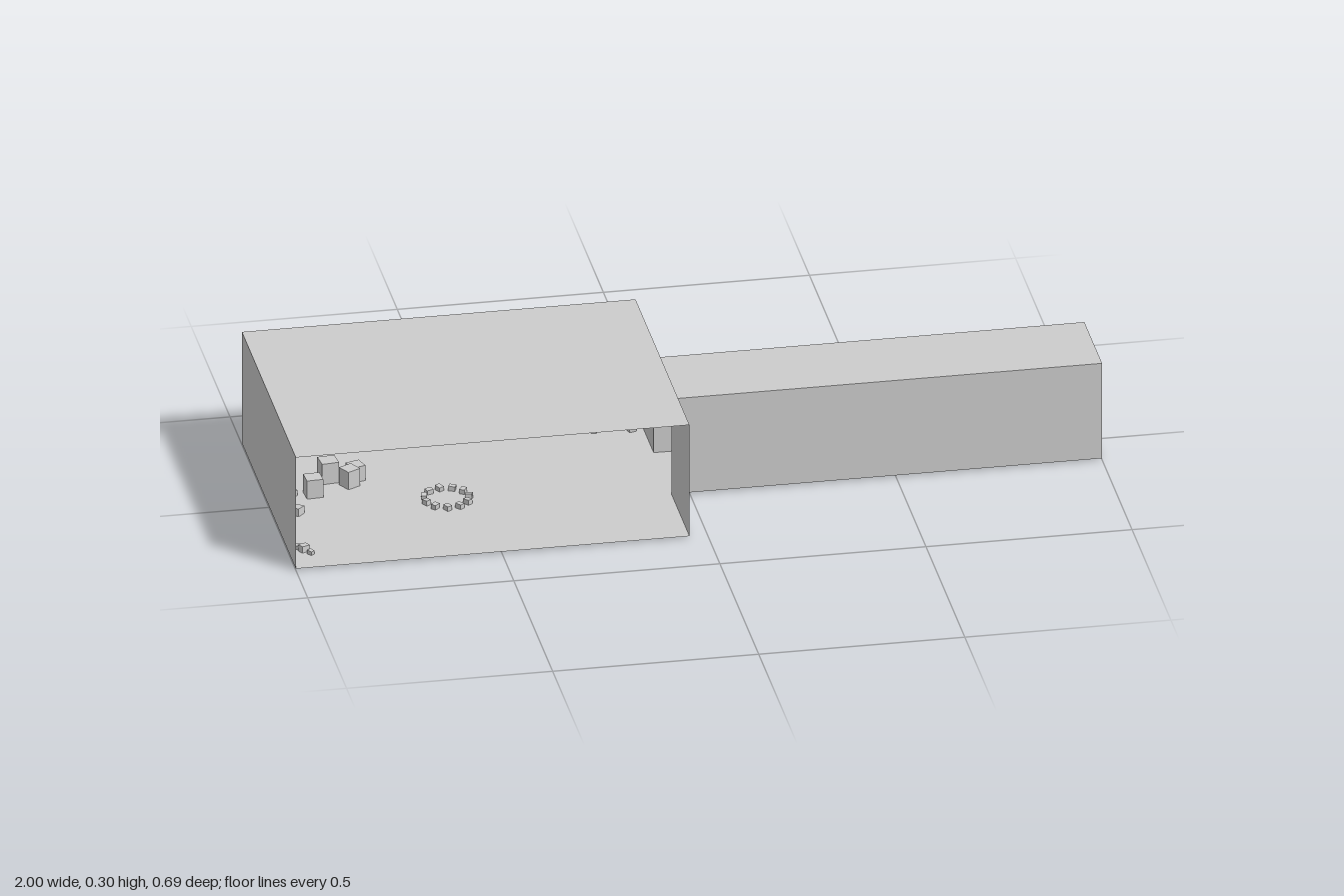
import * as THREE from 'three';

export function createModel() {
  const model = new THREE.Group();
  const stone = new THREE.MeshStandardMaterial({ color: 0xcccccc, flatShading: true, side: THREE.DoubleSide });
  stone.name = 'pale grey';

  const FLOOR = 0.004, X0 = -1, X1 = -0.045, X2 = 1;
  const ROOM_Z = 0.347, ROOM_H = 0.299, HALL_Z = 0.114, HALL_H = 0.256;

  let seed = 7;
  const rand = () => (seed = (seed * 16807) % 2147483647) / 2147483647;

  function add(parent, name, geometry, x, y, z) {
    const mesh = new THREE.Mesh(geometry, stone);
    mesh.name = name;
    mesh.position.set(x, y, z);
    parent.add(mesh);
    return mesh;
  }

  // Thin shells: floor, ceiling and long walls of a passage running along x
  function shell(name, xa, xb, halfZ, top, walls) {
    const group = new THREE.Group();
    group.name = name;
    const w = xb - xa, h = top - FLOOR, cx = (xa + xb) / 2, cy = (top + FLOOR) / 2;
    add(group, 'floor', new THREE.PlaneGeometry(w, halfZ * 2), cx, FLOOR, 0).rotation.x = -Math.PI / 2;
    add(group, 'ceiling', new THREE.PlaneGeometry(w, halfZ * 2), cx, top, 0).rotation.x = -Math.PI / 2;
    for (const s of walls) add(group, s > 0 ? 'frontWall' : 'backWall', new THREE.PlaneGeometry(w, h), cx, cy, s * halfZ);
    model.add(group);
    return group;
  }

  // Room is open at the front; corridor is open at its far end
  const room = shell('room', X0, X1, ROOM_Z, ROOM_H, [-1]);
  shell('corridor', X1, X2, HALL_Z, HALL_H, [-1, 1]);
  add(room, 'endWall', new THREE.PlaneGeometry(ROOM_Z * 2, ROOM_H - FLOOR), X0, (ROOM_H + FLOOR) / 2, 0).rotation.y = -Math.PI / 2;

  // Wall with the doorway into the corridor
  const outline = new THREE.Shape([
    [-ROOM_Z, FLOOR], [-HALL_Z, FLOOR], [-HALL_Z, HALL_H], [HALL_Z, HALL_H],
    [HALL_Z, FLOOR], [ROOM_Z, FLOOR], [ROOM_Z, ROOM_H], [-ROOM_Z, ROOM_H],
  ].map(([x, y]) => new THREE.Vector2(x, y)));
  add(room, 'doorWall', new THREE.ShapeGeometry(outline), X1, 0, 0).rotation.y = Math.PI / 2;

  // Crates: x, z, width, height, turn
  const crates = [
    [-0.885, -0.04, 0.04, 0.048, 0.05], [-0.79, -0.075, 0.036, 0.046, 0.5],
    [-0.835, -0.112, 0.042, 0.054, 0.1], [-0.77, -0.105, 0.035, 0.04, 0.3],
  ];
  for (const [x, z, w, h, turn] of crates)
    add(model, 'crate', new THREE.BoxGeometry(w, h, w), x, FLOOR + h / 2, z).rotation.y = turn;

  function rock(name, x, z, size) {
    const mesh = add(model, name, new THREE.BoxGeometry(size, size * 0.75, size * 0.8), x, FLOOR + size * 0.35, z);
    mesh.rotation.set((rand() - 0.5) * 0.2, rand() * 3, (rand() - 0.5) * 0.2);
  }

  // Ring of hearth stones
  for (let i = 0; i < 11; i++) {
    const a = (i / 11) * Math.PI * 2;
    rock('hearthStone', -0.577 + Math.cos(a) * 0.054, 0.045 + Math.sin(a) * 0.054, 0.017);
  }

  // Scattered rubble: x, z, size
  const rubble = [
    [-0.963, 0.255, 0.022], [-0.975, 0.24, 0.014], [-0.95, 0.275, 0.014],
    [-0.94, 0.055, 0.026], [-0.965, 0.07, 0.02], [-0.955, 0.0, 0.024], [-0.975, 0.03, 0.015],
    [-0.935, -0.045, 0.02], [-0.93, -0.075, 0.018],
    [-0.43, -0.26, 0.018], [-0.28, -0.27, 0.016], [-0.24, -0.29, 0.018], [-0.165, -0.25, 0.016],
    [-0.11, -0.29, 0.018], [-0.085, -0.27, 0.024], [-0.065, -0.3, 0.022], [-0.075, -0.24, 0.018],
  ];
  for (const [x, z, size] of rubble) rock('rubble', x, z, size);

  // Upright posts by the back wall, sunk through the floor
  for (const [x, z] of [[-0.362, -0.325], [-0.343, -0.3], [-0.295, -0.31], [-0.258, -0.315]])
    add(model, 'post', new THREE.BoxGeometry(0.011, 0.155, 0.011), x, 0.0775, z);

  return model;
}
